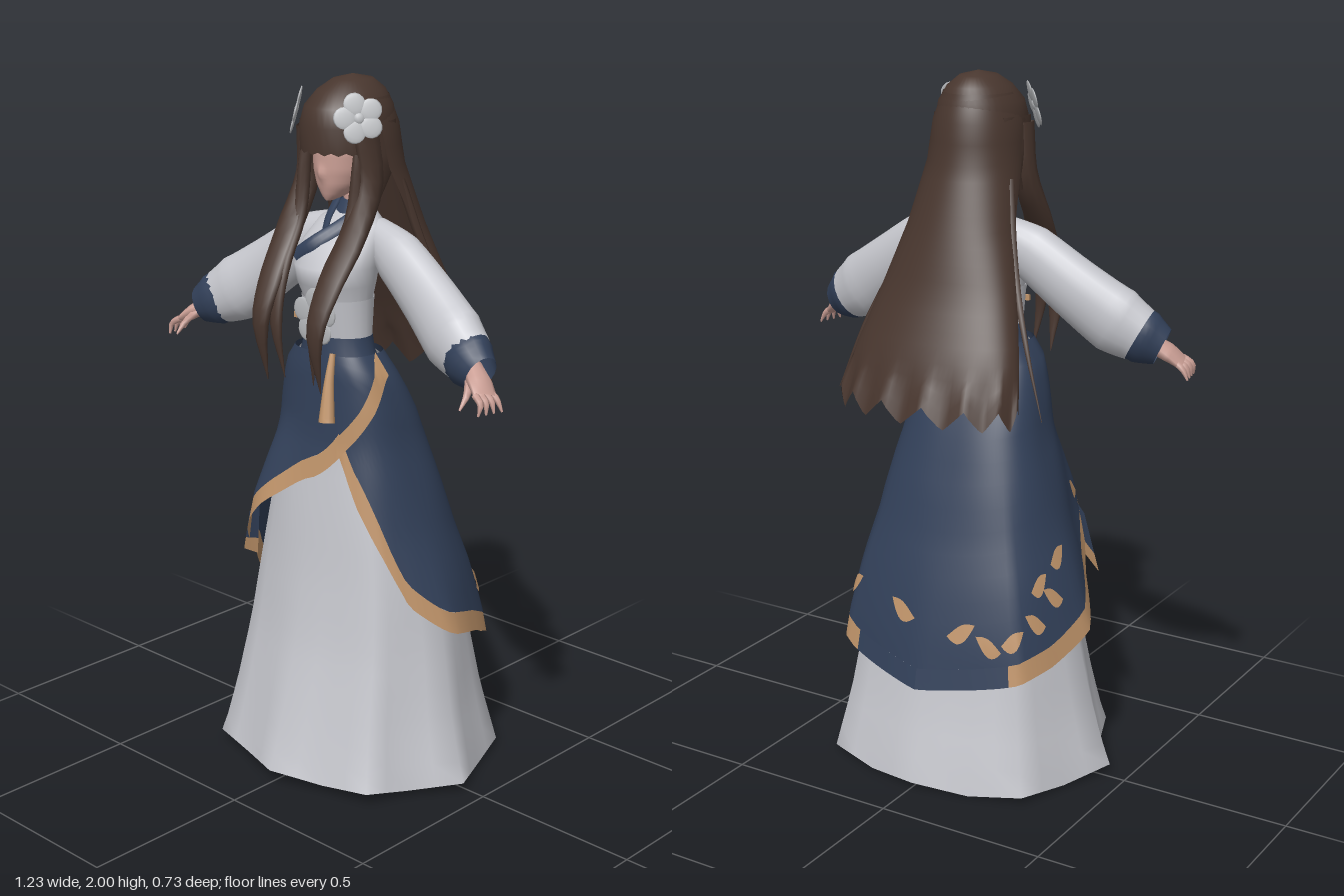
import * as THREE from 'three';
import { mergeVertices } from 'three/addons/utils/BufferGeometryUtils.js';

const paint = (name, color) => new THREE.MeshStandardMaterial({ name, color, side: THREE.DoubleSide });
const V = (x, y, z) => new THREE.Vector3(x, y, z);
const clamp = THREE.MathUtils.clamp;

// Grid surface from a rule f(u, v) -> Vector3, outside along du x dv
function grid(f, nu, nv) {
  const pos = [], idx = [], w = nu + 1;
  for (let j = 0; j <= nv; j++)
    for (let i = 0; i <= nu; i++) pos.push(...f(i / nu, j / nv).toArray());
  for (let j = 0; j < nv; j++)
    for (let i = 0; i < nu; i++) {
      const a = j * w + i;
      idx.push(a, a + 1, a + w, a + 1, a + w + 1, a + w);
    }
  let g = new THREE.BufferGeometry();
  g.setAttribute('position', new THREE.Float32BufferAttribute(pos, 3));
  g.setIndex(idx);
  g = mergeVertices(g, 1e-5);
  g.computeVertexNormals();
  return g;
}

// Linear lookup in rows sorted by their first number
function at(rows, k) {
  let i = 0;
  while (i < rows.length - 2 && k > rows[i + 1][0]) i++;
  const a = rows[i], b = rows[i + 1];
  const t = clamp((k - a[0]) / (b[0] - a[0]), 0, 1);
  return a.map((n, c) => n + (b[c] - n) * t);
}

const power = (n, p) => Math.sign(n) * Math.abs(n) ** p;

// Oval ring point for a row [y, half width, front z, back z]
function ring([y, hw, zf, zb], a, p = 1, grow = 0) {
  return V((hw + grow) * power(Math.sin(a), p), y,
    (zf + zb) / 2 + ((zf - zb) / 2 + grow) * power(Math.cos(a), p));
}

function loft(rows, n = 24) {
  const m = rows.length - 1;
  return grid((u, v) => ring(rows[Math.round(v * m)], (u * 2 - 1) * Math.PI), n, m);
}

// Tapered oval sweep; radii are [across, deep] pairs spread along the path
function sweep(points, radii, n = 10, m = 16) {
  const c = new THREE.CatmullRomCurve3(points.map(p => V(...p)));
  const rows = radii.map((r, i) => [i / (radii.length - 1), ...r]);
  return grid((u, v) => {
    const t = c.getTangent(v), ref = Math.abs(t.z) > 0.9 ? V(0, 1, 0) : V(0, 0, 1);
    const a = ref.cross(t).normalize(), b = t.clone().cross(a), [, ra, rb] = at(rows, v);
    const k = u * Math.PI * 2;
    return c.getPoint(v).addScaledVector(a, ra * Math.cos(k)).addScaledVector(b, rb * Math.sin(k));
  }, n, m);
}

// Skirt rows, and the fluted hem outline as [eighth of half a turn, x, z] in units of the row's size
const SKIRT = [[0.02, 0.442, 0.36, -0.357], [0.2, 0.388, 0.305, -0.31], [0.4, 0.345, 0.25, -0.27],
  [0.6, 0.305, 0.215, -0.24], [0.8, 0.253, 0.19, -0.195], [1.0, 0.195, 0.16, -0.13],
  [1.1, 0.18, 0.155, -0.09], [1.2, 0.152, 0.15, -0.03], [1.26, 0.107, 0.14, -0.005]];
const FLUTES = [[0, 0, 1], [1, 0.34, 0.83], [2, 0.67, 0.75], [3, 0.77, 0.4], [4, 1, 0.05],
  [5, 0.84, -0.36], [6, 0.72, -0.78], [7, 0.37, -0.89], [8, 0, -1]];
function skirtPoint(a, y, grow = 0) {
  const row = at(SKIRT, y), [, hw, zf, zb] = row;
  const [, fx, fz] = at(FLUTES, Math.abs(a) / Math.PI * 8);
  const flute = V(Math.sign(a) * fx * (hw + grow), y, (zf + zb) / 2 + fz * ((zf - zb) / 2 + grow));
  return ring(row, a, 0.75, grow).lerp(flute, clamp(1.02 - y / 0.9, 0, 1));
}

// Height of the wrap skirt's edge by angle around the body
const HEM = [[-3.1416, 0.3], [-2.5, 0.34], [-2, 0.38], [-1.6, 0.44], [-1.2, 0.56], [-0.9, 0.63], [-0.74, 0.68],
  [-0.36, 0.8], [0, 0.89], [0.37, 0.97], [0.6, 0.84], [0.95, 0.69], [1.2, 0.56], [1.6, 0.46], [2, 0.42],
  [2.5, 0.35], [3.1416, 0.3]];
const hem = a => at(HEM, a)[1];

// Wrap skirt point: flares at the bottom and lifts off the skirt at the right front
function wrapPoint(a, y, lift = 0) {
  const flare = 0.03 * clamp((0.75 - y) / 0.3, 0, 1);
  const billow = 0.05 * Math.exp(-(((a + 0.5) / 0.35) ** 2)) * clamp((1.05 - y) / 0.25, 0, 1);
  return skirtPoint(a, y, 0.016 + flare + billow + lift);
}

function flower(name, radius, mat) {
  const g = new THREE.Group();
  g.name = name;
  const petal = new THREE.SphereGeometry(radius * 0.44, 12, 8);
  for (let i = 0; i < 5; i++) {
    const a = i / 5 * Math.PI * 2 + Math.PI / 2, m = new THREE.Mesh(petal, mat);
    m.name = 'petal';
    m.position.set(Math.cos(a) * radius * 0.56, Math.sin(a) * radius * 0.56, radius * 0.1);
    m.rotation.z = a;
    m.scale.set(1.05, 1, 0.14);
    g.add(m);
  }
  const core = new THREE.Mesh(new THREE.SphereGeometry(radius * 0.22, 10, 8), mat);
  core.name = 'flowerCentre';
  core.position.z = radius * 0.1;
  core.scale.z = 0.4;
  g.add(core);
  return g;
}

export function createModel() {
  const white = paint('white cloth', 0xc6c7cd), blue = paint('navy cloth', 0x324059);
  const gold = paint('tan trim', 0xc0946a), hair = paint('brown hair', 0x48362e);
  const skin = paint('skin', 0xcb9f95), petal = paint('pale petal', 0xb8babd);
  const model = new THREE.Group();
  model.name = 'robedFigure';
  const add = (name, geo, mat, parent = model) => {
    const m = new THREE.Mesh(geo, mat);
    m.name = name;
    parent.add(m);
    return m;
  };

  // Underskirt with a fluted, gently waved hem
  add('underskirt', grid((u, v) => {
    const a = (u * 2 - 1) * Math.PI, p = skirtPoint(a, 0.02 + v * 1.22);
    if (v === 0) p.y += 0.012 * Math.cos(a) + 0.008 * Math.cos(8 * a);
    return p;
  }, 32, 18), white);

  // Wrap skirt and its trimmed edge, wider where the edge is steep
  const wrap = (name, mat, a0, a1, low, high, n, rows) => add(name, grid((u, v) => {
    const a = a0 + (a1 - a0) * u, y0 = low(a), y1 = high(a);
    return wrapPoint(a, y0 + (y1 - y0) * v);
  }, n, rows), mat);
  const band = a => hem(a) + 0.06 + 0.04 * Math.exp(-(((a - 0.75) / 0.3) ** 2));
  wrap('wrapSkirt', blue, -Math.PI, Math.PI, band, () => 1.25, 96, 14);
  wrap('wrapTrim', gold, -2.45, 2.55, hem, band, 80, 1);
  wrap('wrapBackEdgeLeft', blue, 2.55, Math.PI, hem, band, 10, 1);
  wrap('wrapBackEdgeRight', blue, -Math.PI, -2.45, hem, band, 10, 1);
  add('wrapDiagonalTrim', grid((u, v) => wrapPoint(0.33 + u * 1.27, 0.965 + u * 0.23 + v * 0.06, 0.005), 24, 2), gold);

  // Scattered embroidery on the wrap skirt
  [[-0.95, 0.79], [-1.75, 0.66], [-1.9, 0.56], [-2.05, 0.6], [-2.15, 0.5], [-2.4, 0.46], [-2.62, 0.44], [-2.85, 0.47], [3.0, 0.5], [2.35, 0.52]]
    .forEach(([a, y], i) => add('embroidery', grid((u, v) => wrapPoint(a + (u - 0.5) * 0.22,
      y + (v - 0.5) * 0.052 * Math.sin(Math.PI * u) + 0.04 * (i % 2 ? u * u : (1 - u) ** 2), 0.005), 8, 2), gold));

  // Folded corner of the wrap on the right hip
  const fold = (name, mat, t0, t1) => add(name, grid((u, v) => {
    const top = V(-0.26 + 0.09 * u, 0.72 + 0.06 * u, 0.175 + 0.045 * u);
    const end = V(-0.335 + 0.175 * u, 0.57 + 0.065 * u, 0.13 + 0.11 * u);
    return end.lerp(top, t0 + (t1 - t0) * v);
  }, 4, 3), mat);
  fold('wrapFold', blue, 0.3, 1);
  fold('wrapFoldTrim', gold, 0, 0.3);

  // Torso, waistband and collar
  add('bodice', loft([[1.22, 0.105, 0.135, 0], [1.3, 0.098, 0.14, -0.005], [1.38, 0.1, 0.15, -0.015],
    [1.44, 0.115, 0.18, -0.03], [1.49, 0.122, 0.19, -0.04], [1.55, 0.125, 0.14, -0.05],
    [1.6, 0.112, 0.07, -0.05], [1.635, 0.06, 0.04, -0.045], [1.65, 0.03, 0.025, -0.035]]), white);
  add('waistband', loft([[1.29, 0.104, 0.146, -0.012], [1.4, 0.108, 0.164, -0.024]]), white);
  add('skirtWaist', loft([[1.21, 0.135, 0.158, -0.03], [1.25, 0.116, 0.152, -0.014], [1.295, 0.107, 0.148, -0.012]]), blue);
  add('collar', loft([[1.615, 0.072, 0.055, -0.054], [1.66, 0.045, 0.03, -0.048]]), blue);
  add('outerLapel', sweep([[0.055, 1.65, 0.015], [0.03, 1.6, 0.08], [-0.02, 1.55, 0.146], [-0.075, 1.51, 0.16]],
    [[0.02, 0.008], [0.022, 0.008], [0.02, 0.008]]), blue);
  add('innerLapel', sweep([[-0.055, 1.65, 0.015], [-0.035, 1.61, 0.07], [-0.005, 1.575, 0.118]],
    [[0.018, 0.006], [0.016, 0.006]]), blue);
  add('sashCord', new THREE.BoxGeometry(0.07, 0.016, 0.009), gold).position.set(-0.045, 1.345, 0.158);
  add('tassel', sweep([[0.07, 1.26, 0.165], [0.075, 1.18, 0.185], [0.085, 1.075, 0.205]],
    [[0.008, 0.008], [0.014, 0.014], [0.024, 0.022]]), gold);
  const sashFlower = flower('sashFlower', 0.08, petal);
  sashFlower.position.set(0.025, 1.36, 0.18);
  model.add(sashFlower);

  // Head, with the nose drawn out of the middle of the face
  add('neck', new THREE.CylinderGeometry(0.034, 0.038, 0.14, 16), skin).position.set(0, 1.675, -0.005);
  const FACE = [[1.668, 0.01, 0.115, 0.085], [1.68, 0.03, 0.122, 0.04], [1.71, 0.06, 0.13, -0.02],
    [1.75, 0.078, 0.134, -0.05], [1.8, 0.085, 0.134, -0.06], [1.87, 0.08, 0.12, -0.06]];
  add('face', grid((u, v) => {
    const a = (u * 2 - 1) * Math.PI, p = ring(at(FACE, 1.668 + 0.202 * v), a);
    p.z += 0.01 * Math.exp(-((a / 0.15) ** 2) - ((p.y - 1.742) / 0.018) ** 2);
    return p;
  }, 48, 20), skin);

  // Hair cap with a cut fringe
  const CAP = [[1.798, 0.122, 0.168, -0.11], [1.87, 0.124, 0.17, -0.112], [1.92, 0.113, 0.155, -0.104],
    [1.96, 0.085, 0.118, -0.085], [1.988, 0.05, 0.07, -0.05], [2, 0.001, 0.011, 0.009]];
  add('hairCap', grid((u, v) => {
    const p = ring(CAP[Math.round(v * 5)], (u * 2 - 1) * Math.PI);
    if (v === 0) p.y += Math.round(u * 40) % 2 ? 0.008 : 0;
    return p;
  }, 40, 5), hair);

  // Long back hair with pointed ends: [fall, y, half width, side z, depth]
  const FALL = [[0, 1.945, 0.097, 0.02, 0.114], [0.1, 1.87, 0.126, 0.02, 0.14], [0.2, 1.76, 0.136, 0, 0.135],
    [0.4, 1.59, 0.162, -0.075, 0.115], [0.6, 1.42, 0.21, -0.14, 0.105], [0.8, 1.26, 0.255, -0.205, 0.108], [1, 1.09, 0.28, -0.25, 0.115]];
  add('backHair', grid((u, v) => {
    const [, y, hw, z, d] = at(FALL, v), a = (u * 2 - 1) * 1.65;
    const notch = Math.abs((u * 7) % 1 - 0.35) * 0.11 * THREE.MathUtils.smoothstep(v, 0.8, 1);
    return V(-hw * Math.sin(a), y + notch, z - d * Math.cos(a));
  }, 56, 20), hair);

  // Mirrored parts
  for (const s of [1, -1]) {
    const side = new THREE.Group();
    side.name = s > 0 ? 'leftSide' : 'rightSide';
    side.scale.x = s;
    model.add(side);

    // Sleeve, cuff and hand
    add('sleeve', sweep([[0.07, 1.575, -0.005], [0.17, 1.518, 0.008], [0.3, 1.425, 0.028], [0.41, 1.347, 0.055], [0.475, 1.31, 0.072]],
      [[0.045, 0.045], [0.078, 0.06], [0.088, 0.065], [0.098, 0.07], [0.08, 0.062]], 20), white, side);
    add('cuff', sweep([[0.45, 1.325, 0.065], [0.49, 1.302, 0.079], [0.535, 1.28, 0.092]],
      [[0.079, 0.064], [0.078, 0.062], [0.055, 0.046]], 16, 6), blue, side);
    add('palm', sweep([[0.5, 1.29, 0.085], [0.545, 1.263, 0.108], [0.58, 1.235, 0.126]],
      [[0.026, 0.028], [0.022, 0.038], [0.012, 0.038]]), skin, side);
    for (let i = 0; i < 4; i++) {
      const z = 0.096 + i * 0.019;
      add('finger', sweep([[0.568, 1.243, z], [0.594, 1.225, z + 0.003 * i], [0.612 - 0.006 * i, 1.195, z + 0.006 * i]],
        [[0.01, 0.01], [0.009, 0.009], [0.003, 0.003]], 6, 5), skin, side);
    }
    add('thumb', sweep([[0.525, 1.265, 0.125], [0.542, 1.238, 0.155], [0.545, 1.205, 0.187]],
      [[0.013, 0.013], [0.01, 0.01], [0.003, 0.003]], 6, 5), skin, side);

    // Front locks, side hair and loose strands
    add('frontLock', sweep([[0.108, 1.86, 0.07], [0.118, 1.72, 0.065], [0.118, 1.58, 0.14], [0.108, 1.45, 0.225], [0.104, 1.34, 0.268], [0.102, 1.17, 0.245]],
      [[0.022, 0.045], [0.03, 0.04], [0.044, 0.026], [0.042, 0.02], [0.03, 0.016], [0.001, 0.001]]), hair, side);
    add('innerLock', sweep([[0.1, 1.8, 0.09], [0.098, 1.62, 0.12], [0.085, 1.47, 0.205], [0.072, 1.33, 0.24], [0.055, 1.18, 0.225]],
      [[0.015, 0.02], [0.022, 0.018], [0.025, 0.016], [0.02, 0.012], [0.001, 0.001]]), hair, side);
    add('sideHair', sweep([[0.108, 1.88, 0.03], [0.116, 1.78, 0.025], [0.12, 1.68, 0.04]],
      [[0.014, 0.075], [0.016, 0.06], [0.004, 0.012]]), hair, side);
    add('looseStrand', sweep([[0.13, 1.72, -0.04], [0.18, 1.5, -0.1], [0.26, 1.3, -0.17], [0.33, 1.11, -0.205]],
      [[0.012, 0.015], [0.014, 0.012], [0.008, 0.006], [0.001, 0.001]], 6), hair, side);
    const bloom = flower('hairFlower', 0.068, petal);
    bloom.position.set(0.112, 1.9, 0.105);
    bloom.rotation.set(-0.25, 0.85, 0.3, 'YXZ');
    side.add(bloom);

    // Leg and heeled shoe
    add('leg', new THREE.CylinderGeometry(0.05, 0.026, 0.5, 14), skin, side).position.set(0.1, 0.31, -0.015);
    add('shoe', sweep([[0.1, 0.085, -0.05], [0.102, 0.068, 0.0], [0.105, 0.032, 0.07], [0.106, 0.016, 0.14]],
      [[0.024, 0.027], [0.038, 0.036], [0.045, 0.028], [0.014, 0.01]], 14), blue, side);
    add('shoeHeel', new THREE.CylinderGeometry(0.024, 0.012, 0.085, 10), blue, side).position.set(0.1, 0.043, -0.04);
  }
  return model;
}
